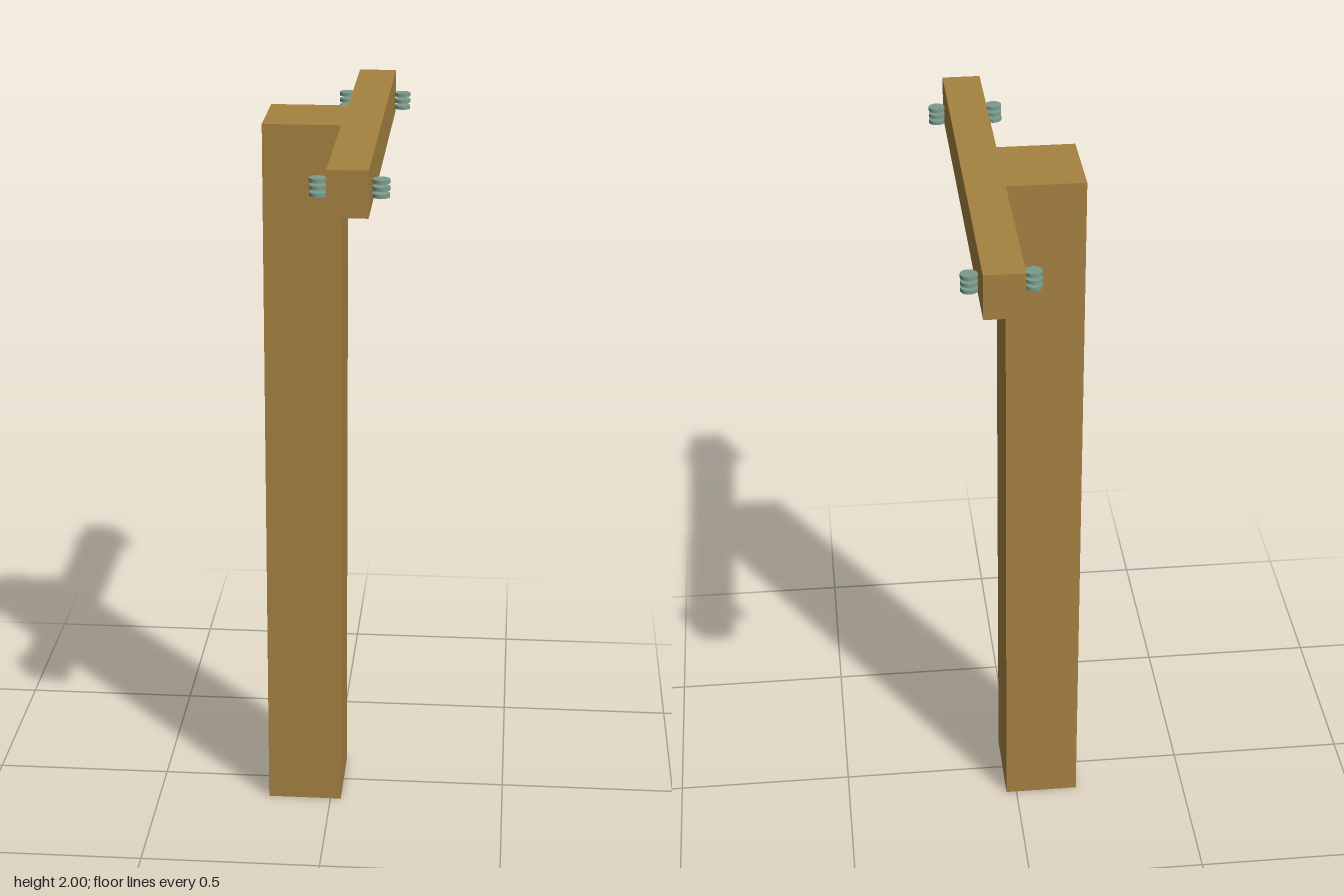
import * as THREE from 'three';

export function createModel() {
  const group = new THREE.Group();
  const wood = new THREE.MeshStandardMaterial({ color: 0xa68241 });
  wood.name = 'wood';
  const glass = new THREE.MeshStandardMaterial({ color: 0x7b9b8c });
  glass.name = 'greenGlass';

  const addBox = (name, size, position) => {
    const mesh = new THREE.Mesh(new THREE.BoxGeometry(...size), wood);
    mesh.name = name;
    mesh.position.set(...position);
    group.add(mesh);
  };

  // Upright post and the crossbar fixed to its side
  addBox('post', [0.21, 2, 0.24], [-0.075, 1, 0]);
  addBox('crossbar', [0.104, 0.12, 1.196], [0.081, 1.94, 0]);

  // Insulators: stacks of three discs on both sides of each bar end
  const disc = new THREE.CylinderGeometry(0.022, 0.022, 0.01, 24);
  for (const x of [0, 0.158]) {
    for (const z of [-0.5, 0.5]) {
      const insulator = new THREE.Group();
      insulator.name = 'insulator';
      insulator.position.set(x, 1.933, z);
      for (const y of [-0.018, 0, 0.018]) {
        const mesh = new THREE.Mesh(disc, glass);
        mesh.name = 'insulatorDisc';
        mesh.position.y = y;
        insulator.add(mesh);
      }
      group.add(insulator);
    }
  }
  return group;
}
